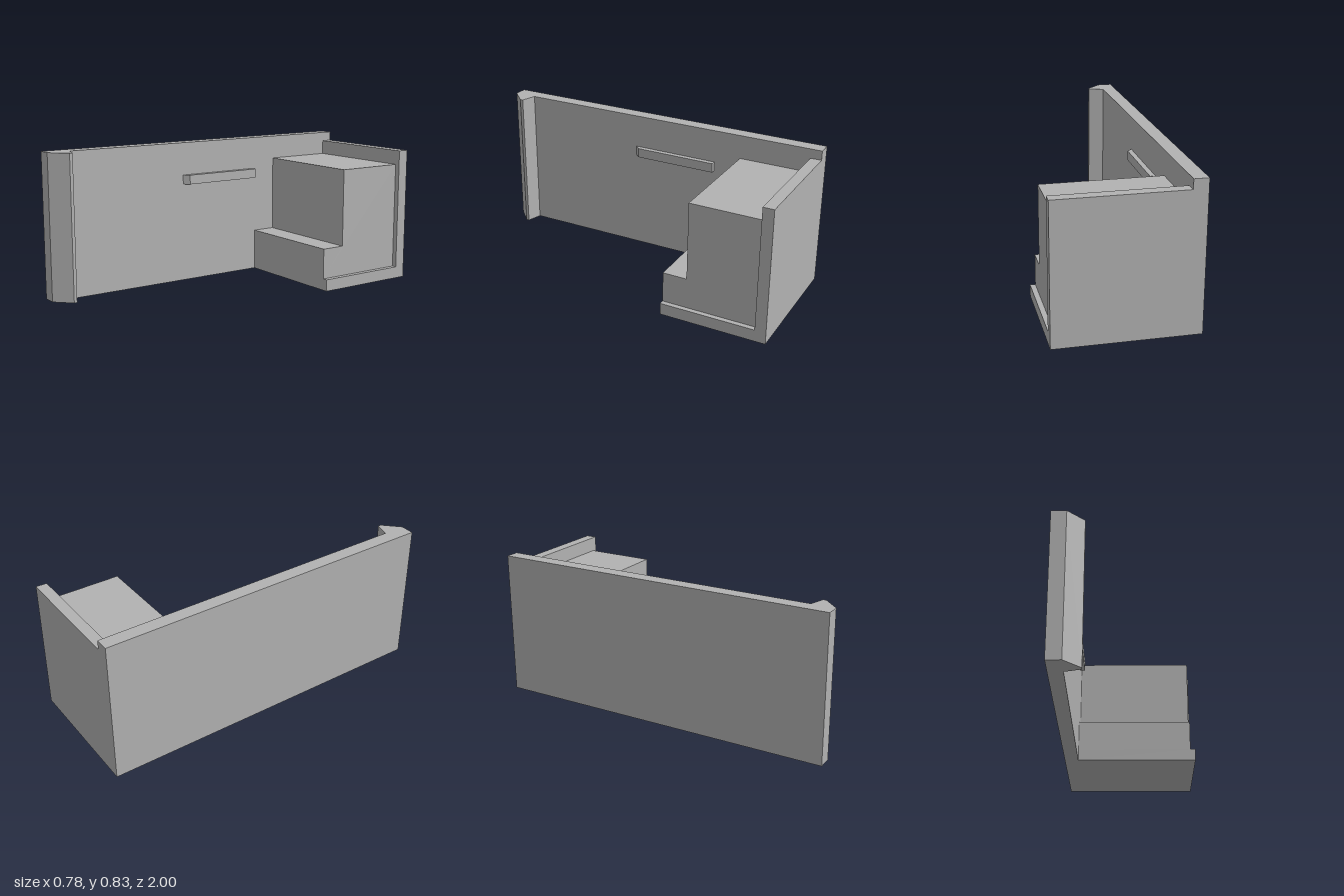
import * as THREE from 'three';

const outline = (pts) => new THREE.Shape(pts.map(([a, b]) => new THREE.Vector2(a, b)));

// Plan outline in (x, z), raised from y0 to y1
function fromPlan(pts, y0, y1) {
  const geo = new THREE.ExtrudeGeometry(outline(pts.map(([x, z]) => [x, -z])), { depth: y1 - y0, bevelEnabled: false });
  return geo.rotateX(-Math.PI / 2).translate(0, y0, 0);
}

// Side profile in (z, y), swept from x0 to x1
function fromProfile(pts, x0, x1) {
  const geo = new THREE.ExtrudeGeometry(outline(pts.map(([z, y]) => [-z, y])), { depth: x1 - x0, bevelEnabled: false });
  return geo.rotateY(Math.PI / 2).translate(x0, 0, 0);
}

export function createModel() {
  const group = new THREE.Group();
  const grey = new THREE.MeshStandardMaterial({ color: 0xb2b2b2 });
  grey.name = 'grey';
  const add = (name, geo) => {
    const mesh = new THREE.Mesh(geo, grey);
    mesh.name = name;
    group.add(mesh);
  };

  // Long side wall with a hooked lip at the front end
  add('sideWall', fromPlan([
    [-0.39, -1], [-0.31, -1], [-0.31, 0.867], [-0.22, 0.893],
    [-0.22, 0.911], [-0.309, 1], [-0.39, 1],
  ], 0, 0.83));

  // Floor slab and back panel in one L-shaped profile
  add('floorAndBack', fromProfile([
    [-1, 0], [-0.386, 0], [-0.386, 0.068], [-0.937, 0.068], [-0.937, 0.776], [-1, 0.776],
  ], -0.31, 0.39));

  // Stepped block standing on the floor slab
  add('steppedBlock', fromProfile([
    [-0.937, 0.068], [-0.386, 0.068], [-0.386, 0.244],
    [-0.527, 0.244], [-0.527, 0.692], [-0.937, 0.692],
  ], -0.31, 0.361));

  // Armrest rail with a chamfered front end
  add('armrest', fromPlan([
    [-0.31, -0.37], [-0.28, -0.37], [-0.28, 0.11], [-0.31, 0.14],
  ], 0.583, 0.638));

  return group;
}
